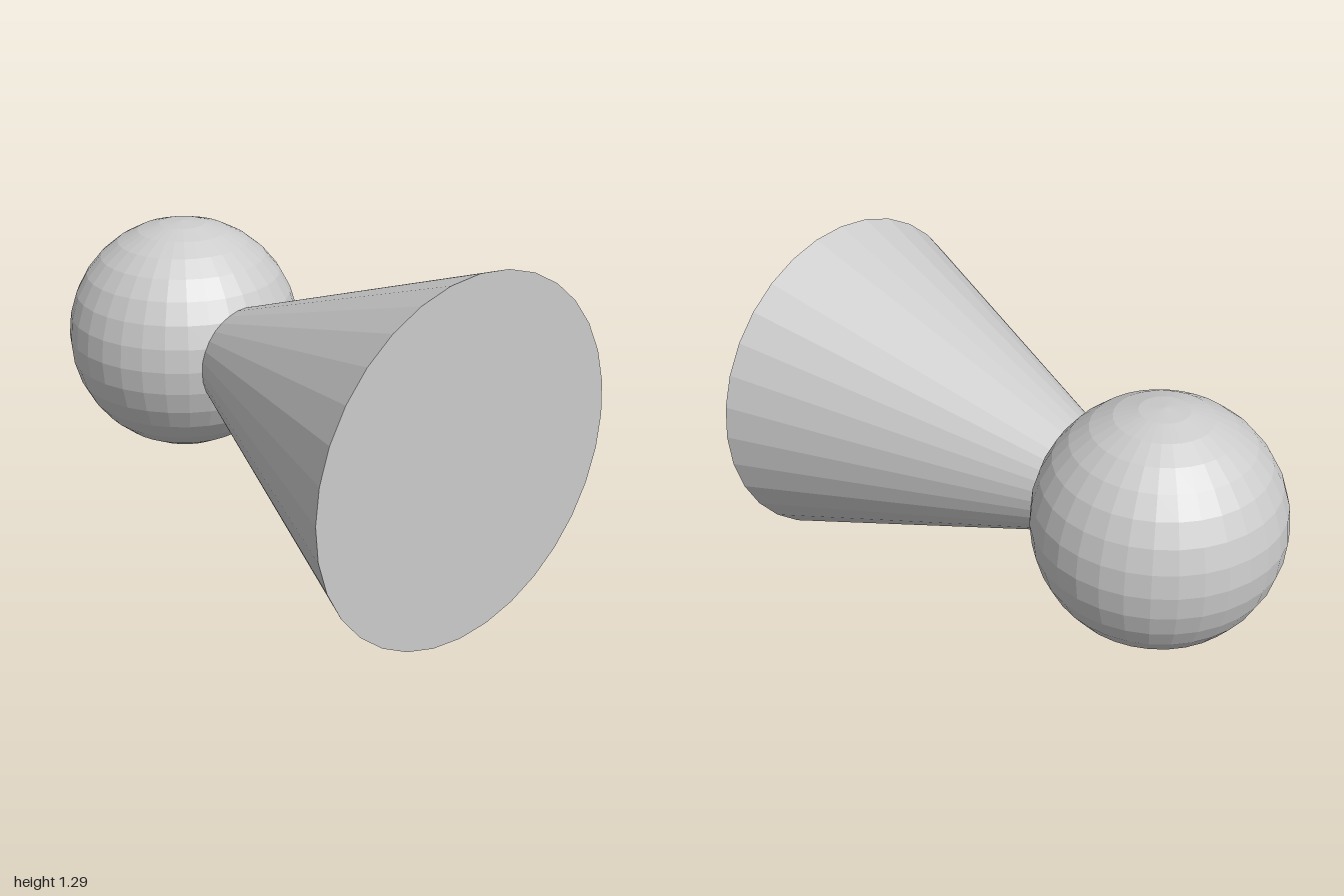
import * as THREE from 'three';

export function createModel() {
  const model = new THREE.Group();
  const material = new THREE.MeshStandardMaterial({ color: 0xcccccc, flatShading: true });
  const axisY = 0.647;

  const addPart = (name, geometry, z) => {
    const mesh = new THREE.Mesh(geometry, material);
    mesh.name = name;
    mesh.position.set(0, axisY, z);
    model.add(mesh);
  };

  // Closed cone: flat base at the front, tip buried inside the ball
  const length = 1.7;
  addPart('cone', new THREE.ConeGeometry(0.644, length, 32).rotateX(-Math.PI / 2), 1 - length / 2);

  // Faceted ball at the back, poles up and down
  addPart('ball', new THREE.SphereGeometry(0.45, 32, 16), -0.55);

  return model;
}
